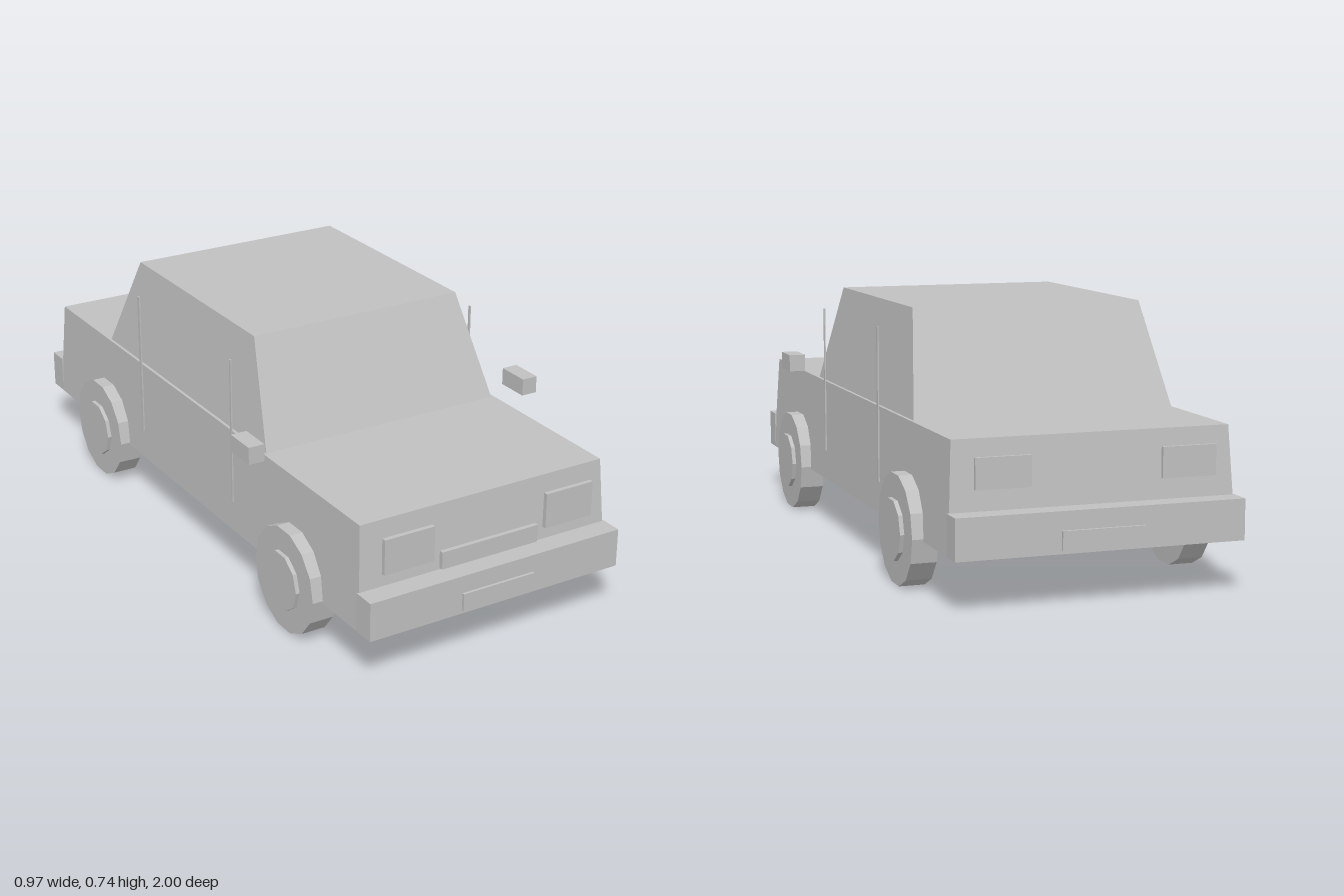
import * as THREE from 'three';

export function createModel() {
  const car = new THREE.Group();
  car.name = 'sedan';
  const grey = new THREE.MeshStandardMaterial({ color: 0xc0c0c0, flatShading: true });
  grey.name = 'plain grey';

  function add(name, geometry) {
    const mesh = new THREE.Mesh(geometry, grey);
    mesh.name = name;
    car.add(mesh);
    return mesh;
  }

  // Box given by its limits on each axis
  function block(name, x0, x1, y0, y1, z0, z1) {
    const mesh = add(name, new THREE.BoxGeometry(x1 - x0, y1 - y0, z1 - z0));
    mesh.position.set((x0 + x1) / 2, (y0 + y1) / 2, (z0 + z1) / 2);
    return mesh;
  }

  // Tapered box: each level is { y, x: half width, z0: rear, z1: front }
  function taper(name, low, high) {
    const geometry = new THREE.BoxGeometry(1, 1, 1);
    const p = geometry.attributes.position;
    for (let i = 0; i < p.count; i++) {
      const level = p.getY(i) > 0 ? high : low;
      p.setXYZ(i, Math.sign(p.getX(i)) * level.x, level.y, p.getZ(i) > 0 ? level.z1 : level.z0);
    }
    geometry.computeVertexNormals();
    return add(name, geometry);
  }

  // Main shell and cabin
  taper('body', { y: 0.145, x: 0.406, z0: -0.937, z1: 0.937 }, { y: 0.446, x: 0.391, z0: -0.913, z1: 0.913 });
  taper('cabin', { y: 0.446, x: 0.382, z0: -0.575, z1: 0.413 }, { y: 0.739, x: 0.339, z0: -0.434, z1: 0.274 });

  // Bumpers and number plates
  block('frontBumper', -0.406, 0.406, 0.145, 0.258, 0.925, 0.992);
  block('rearBumper', -0.406, 0.406, 0.145, 0.258, -0.992, -0.925);
  block('frontPlate', -0.116, 0.116, 0.155, 0.207, 0.991, 1.0);
  block('rearPlate', -0.116, 0.116, 0.155, 0.207, -1.0, -0.991);
  block('grille', -0.156, 0.156, 0.27, 0.321, 0.939, 0.952);

  // Wheel disc lying across the car, with a flat at the bottom
  function disc(name, radius, sides, x0, x1, z) {
    const geometry = new THREE.CylinderGeometry(radius, radius, Math.abs(x1 - x0), sides);
    geometry.rotateZ(Math.PI / 2);
    geometry.rotateX(0);
    const mesh = add(name, geometry);
    mesh.position.set((x0 + x1) / 2, 0.152, z);
  }

  for (const s of [1, -1]) {
    const side = s > 0 ? 'left' : 'right';
    // Mirrored parts take their limits from the left side
    const pair = (name, x0, x1, ...rest) =>
      block(side + name, Math.min(s * x0, s * x1), Math.max(s * x0, s * x1), ...rest);

    pair('Headlight', 0.182, 0.338, 0.303, 0.406, 0.939, 0.952);
    pair('TailLight', 0.184, 0.338, 0.318, 0.402, -0.952, -0.942);
    pair('Mirror', 0.434, 0.483, 0.469, 0.52, 0.395, 0.495);
    pair('FrontDoorSeam', 0.404, 0.408, 0.236, 0.677, 0.252, 0.26);
    pair('RearDoorSeam', 0.404, 0.408, 0.236, 0.677, -0.323, -0.311);

    for (const [end, z] of [['Front', 0.6], ['Rear', -0.575]]) {
      disc(side + end + 'Wheel', 0.156, 14, s * 0.364, s * 0.437, z);
      disc(side + end + 'Hubcap', 0.087, 10, s * 0.43, s * 0.449, z);
    }
  }
  return car;
}
